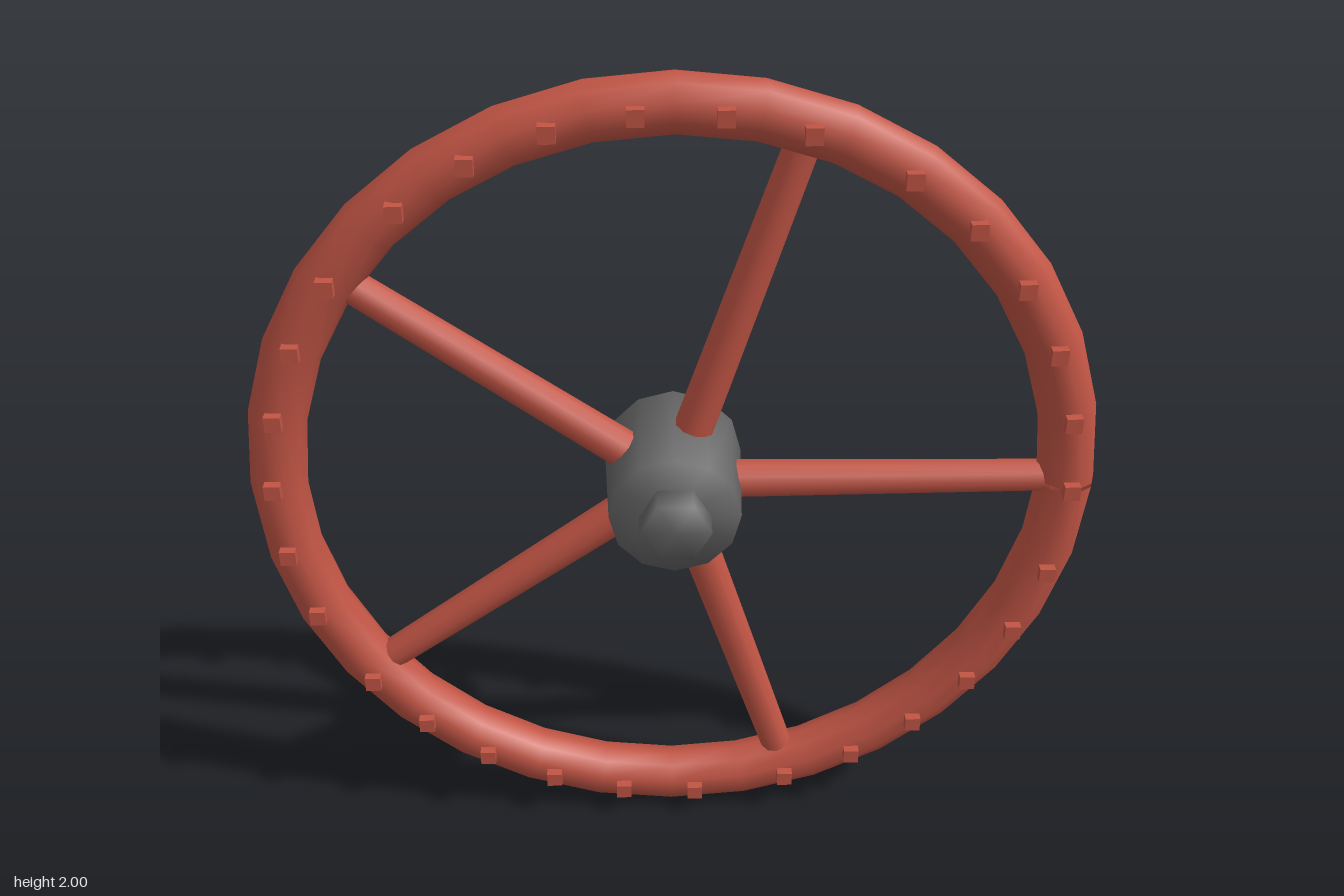
import * as THREE from 'three';
import { mergeVertices } from 'three/addons/utils/BufferGeometryUtils.js';

const RIM_Z = -0.05;
const RIM_R = 0.932;

// Cylinder along z whose normals are smoothed across the caps
function softCylinder(frontR, backR, depth, sides) {
  const g = new THREE.CylinderGeometry(frontR, backR, depth, sides);
  g.rotateX(Math.PI / 2);
  g.deleteAttribute('uv');
  g.deleteAttribute('normal');
  const merged = mergeVertices(g, 1e-4);
  merged.computeVertexNormals();
  return merged;
}

export function createModel() {
  const red = new THREE.MeshStandardMaterial({ color: 0xc25545, side: THREE.DoubleSide });
  red.name = 'red paint';
  const grey = new THREE.MeshStandardMaterial({ color: 0x666666 });
  grey.name = 'dark grey metal';

  const model = new THREE.Group();
  model.name = 'handwheel';
  const wheel = new THREE.Group();
  wheel.name = 'wheel';
  wheel.position.y = 1;
  model.add(wheel);

  const add = (name, geometry, material, x = 0, y = 0, z = 0) => {
    const mesh = new THREE.Mesh(geometry, material);
    mesh.name = name;
    mesh.position.set(x, y, z);
    wheel.add(mesh);
    return mesh;
  };

  // Rim with a hairline seam on the left side
  add('rim', new THREE.TorusGeometry(RIM_R, 0.068, 10, 32, Math.PI * 2 - 0.01), red, 0, 0, RIM_Z);

  // Tapered hub and hexagonal bolt
  add('hub', softCylinder(0.153, 0.165, 0.29, 12), grey, 0, 0, -0.035);
  const bolt = softCylinder(0.083, 0.083, 0.09, 6);
  bolt.rotateZ(Math.PI / 6);
  // keep the bolt's corners pointing sideways
  bolt.computeBoundingBox();
  if (bolt.boundingBox.max.x < 0.08) bolt.rotateZ(Math.PI / 6);
  add('hubBolt', bolt, grey, 0, 0, 0.135);

  // Five spokes, each followed by six grip studs along the rim
  const spoke = new THREE.CylinderGeometry(0.039, 0.047, 0.8, 10);
  spoke.rotateZ(-Math.PI / 2);
  const stud = new THREE.BoxGeometry(0.038, 0.038, 0.038);
  for (let i = 0; i < 5; i++) {
    const a = (i * Math.PI * 2) / 5;
    const c = Math.cos(a), s = Math.sin(a);
    add('spoke', spoke, red, c * 0.49, s * 0.49, RIM_Z).rotation.z = a;
    for (let j = 0; j < 6; j++) {
      const b = a + j * 0.2;
      add('gripStud', stud, red, Math.cos(b) * RIM_R, Math.sin(b) * RIM_R, 0.018);
    }
  }
  return model;
}
